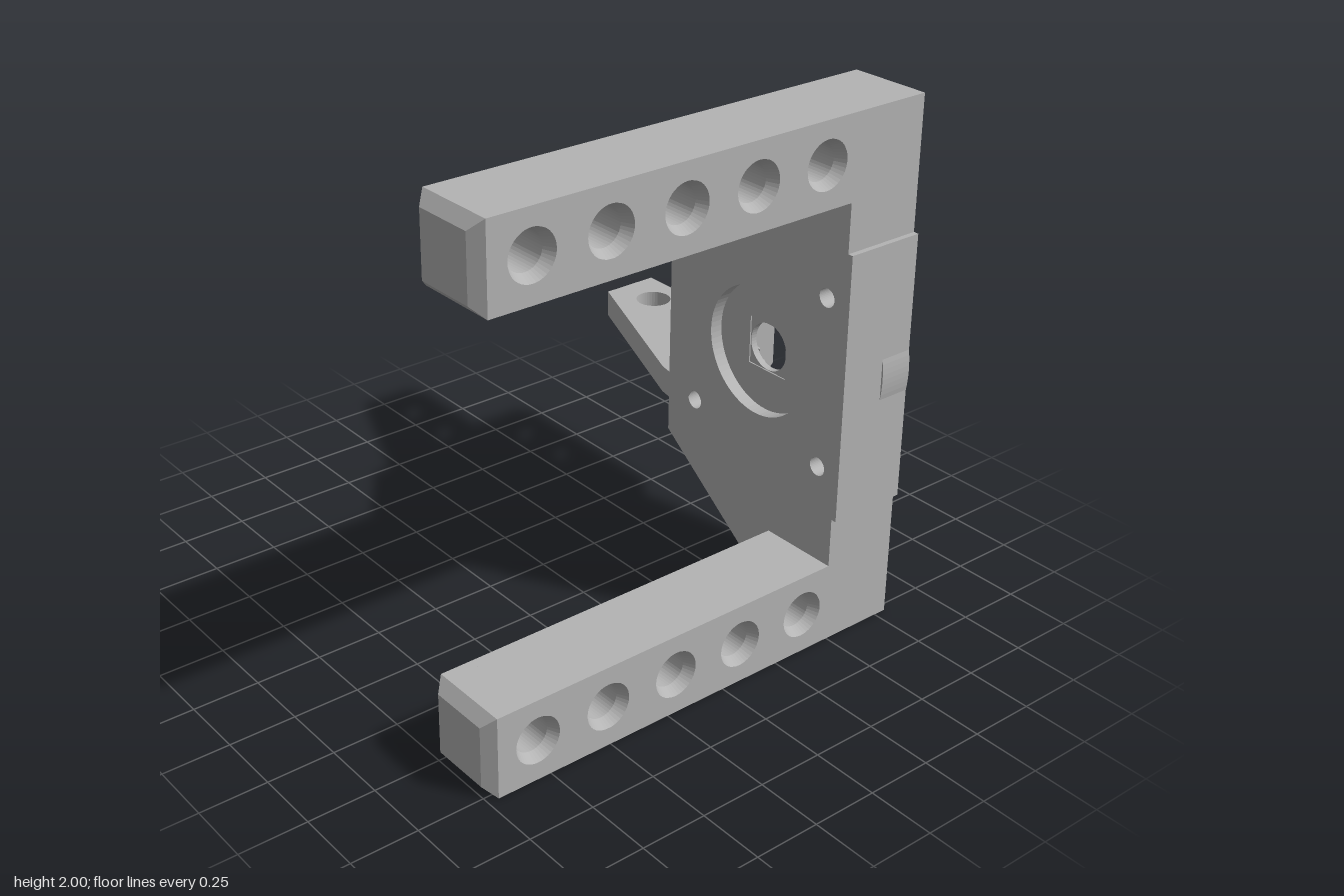
import * as THREE from 'three';

const CX = 0.37, CY = 1; // axis of the gear pocket
const circle = (x, y, r, n = 48) => Array.from({ length: n }, (_, i) => {
  const a = (i / n) * Math.PI * 2;
  return new THREE.Vector2(x + r * Math.cos(a), y + r * Math.sin(a));
});
const vecs = pts => pts.map(([x, y]) => new THREE.Vector2(x, y));

// Extruded slab from z0 to z1. Optionally one end takes the outline `tip`,
// and round holes [x, y, r, tipRadius] widen towards that end.
function slab(pts, z0, z1, { holes = [], cuts = [], tip = pts, tipZ = z1 } = {}) {
  const shape = new THREE.Shape(vecs(pts));
  for (const [x, y, r] of holes) shape.holes.push(new THREE.Path(circle(x, y, r, 40)));
  for (const c of cuts) shape.holes.push(new THREE.Path(c));
  const geo = new THREE.ExtrudeGeometry(shape, { depth: z1 - z0, bevelEnabled: false });
  geo.translate(0, 0, z0);
  const p = geo.attributes.position;
  for (let i = 0; i < p.count; i++) {
    if (Math.abs(p.getZ(i) - tipZ) > 1e-4) continue;
    const x = p.getX(i), y = p.getY(i);
    const k = pts.findIndex(q => Math.hypot(q[0] - x, q[1] - y) < 1e-4);
    if (k >= 0) { p.setXY(i, tip[k][0], tip[k][1]); continue; }
    for (const [hx, hy, r, tr = r] of holes) {
      if (Math.abs(Math.hypot(x - hx, y - hy) - r) < 1e-4) {
        p.setXY(i, hx + (x - hx) * tr / r, hy + (y - hy) * tr / r);
        break;
      }
    }
  }
  geo.computeVertexNormals();
  return geo;
}

export function createModel() {
  const model = new THREE.Group();
  model.name = 'motorBracket';
  const grey = new THREE.MeshStandardMaterial({ color: 0xb4b4b4 });
  grey.name = 'plainGrey';
  const add = (name, geo, parent = model) => {
    const m = new THREE.Mesh(geo, grey);
    m.name = name;
    parent.add(m);
  };
  const group = name => {
    const g = new THREE.Group();
    g.name = name;
    model.add(g);
    return g;
  };

  // Main plate, in layers that differ in their central opening
  const outline = [[-0.15, 0.47], [0.47, 0], [0.78, 0], [0.78, 0.5], [0.8, 0.5],
    [0.8, 1.51], [0.78, 1.51], [0.78, 2], [0.47, 2], [-0.15, 1.53]];
  const frontOutline = outline.map(q => [...q]);
  frontOutline[0] = [-0.1, 0.495];
  frontOutline[1] = [0.47, 0.063];
  frontOutline[8] = [0.47, 1.937];
  frontOutline[9] = [-0.1, 1.505];
  const screws = [];
  for (const x of [0.047, 0.695]) for (const y of [0.677, 1.323]) screws.push([x, y, 0.035]);
  const h = 0.092;
  const square = vecs([[CX - h, CY - h], [CX + h, CY - h], [CX + h, CY + h], [CX - h, CY + h]]);
  const plate = group('plate');
  const layers = [
    ['gearSeat', -0.8, -0.67, circle(CX, CY, 0.424, 90)],
    ['pocketWall', -0.67, -0.57, circle(CX, CY, 0.37, 90)],
    ['pocketFloor', -0.57, -0.545, circle(CX, CY, 0.09)],
    ['squareStep', -0.545, -0.54, square],
    ['frontRecess', -0.54, -0.49, circle(CX, CY, 0.245, 72)],
  ];
  for (const [name, z0, z1, cut] of layers) {
    const tip = name === 'frontRecess' ? frontOutline : outline;
    add(name, slab(outline, z0, z1, { holes: screws, cuts: [cut], tip }), plate);
  }

  // Raised back pads above and below the gear, chamfered at the rear
  const pad = [[-0.15, 1.51], [0.78, 1.51], [0.78, 2], [0.47, 2], [-0.15, 1.53]];
  const padBack = [[-0.15, 1.51], [0.73, 1.51], [0.73, 1.95], [0.404, 1.95], [-0.15, 1.53]];
  const flip = pts => pts.map(([x, y]) => [x, 2 - y]);
  add('upperBackPad', slab(pad, -0.84, -0.79, { tip: padBack, tipZ: -0.84 }));
  add('lowerBackPad', slab(flip(pad), -0.84, -0.79, { tip: flip(padBack), tipZ: -0.84 }));

  // Internal ring gear with slanted teeth
  const teeth = 45, gear = [];
  for (let i = 0; i < teeth; i++) {
    [[0, 0.418], [0.2, 0.418], [0.5, 0.368], [0.7, 0.368]].forEach(([f, r]) => {
      const a = ((i + f) / teeth) * Math.PI * 2;
      gear.push(new THREE.Vector2(r * Math.cos(a), r * Math.sin(a)));
    });
  }
  const ringShape = new THREE.Shape(circle(0, 0, 0.424, 90));
  ringShape.holes.push(new THREE.Path(gear));
  const ring = new THREE.ExtrudeGeometry(ringShape, { depth: 0.13, steps: 4, bevelEnabled: false });
  const rp = ring.attributes.position;
  for (let i = 0; i < rp.count; i++) {
    const a = -0.28 * rp.getZ(i) / 0.13, x = rp.getX(i), y = rp.getY(i);
    rp.setXY(i, x * Math.cos(a) - y * Math.sin(a), x * Math.sin(a) + y * Math.cos(a));
  }
  ring.computeVertexNormals();
  ring.translate(CX, CY, -0.8);
  add('ringGear', ring);

  // Sliver of the gear rim that bulges through the side wall
  const bulge = [];
  for (let i = 0; i <= 8; i++) {
    const a = -0.18 + 0.045 * i;
    bulge.push([CX + 0.437 * Math.cos(a), CY + 0.437 * Math.sin(a)]);
  }
  add('rimBulge', slab(bulge, -0.8, -0.67));

  // Arms: three slabs each along x, with countersunk cross holes and a chamfered end
  const armHoleZ = [0.8, 0.51, 0.217, -0.075, -0.37];
  for (const [name, y0, y1, hy] of [['upperArm', 1.69, 2, 1.847], ['lowerArm', 0, 0.31, 0.155]]) {
    const arm = group(name);
    const body = [[0.55, y0], [0.55, y1], [-0.96, y1], [-1, y1 - 0.04], [-1, y0 + 0.04], [-0.96, y0]];
    const side = body.map(q => [...q]);
    side[3] = [-0.96, y1];
    side[4] = [-0.96, y0];
    const straight = armHoleZ.map(z => [-z, hy, 0.066]);
    const flared = armHoleZ.map(z => [-z, hy, 0.066, 0.088]);
    const parts = [
      ['armInnerSide', 0.47, 0.51, { holes: flared, tip: side, tipZ: 0.47 }],
      ['armCore', 0.51, 0.74, { holes: straight }],
      ['armOuterSide', 0.74, 0.78, { holes: flared, tip: side, tipZ: 0.78 }],
    ];
    for (const [n, x0, x1, o] of parts) add(n, slab(body, x0, x1, o).rotateY(Math.PI / 2), arm);
  }

  // Flange rising behind the plate on the lug side
  const flange = [[0.78, 0.47], [0.84, 0.47], [1, 0.63], [1, 1.37], [0.84, 1.53], [0.78, 1.53]];
  add('rearFlange', slab(flange, -0.15, -0.07).rotateY(Math.PI / 2));

  // Two tapered hinge lugs with pin holes
  const lug = [[-0.815, -1], [-0.1, -1], [-0.1, -0.49], [-0.15, -0.5], [-0.815, -0.77]];
  const pins = [[-0.645, -0.87, 0.069], [-0.405, -0.87, 0.069]];
  for (const [name, top] of [['upperLug', 1.375], ['lowerLug', 0.735]]) {
    add(name, slab(lug, 0, 0.105, { holes: pins }).rotateX(Math.PI / 2).translate(0, top, 0));
  }
  return model;
}
